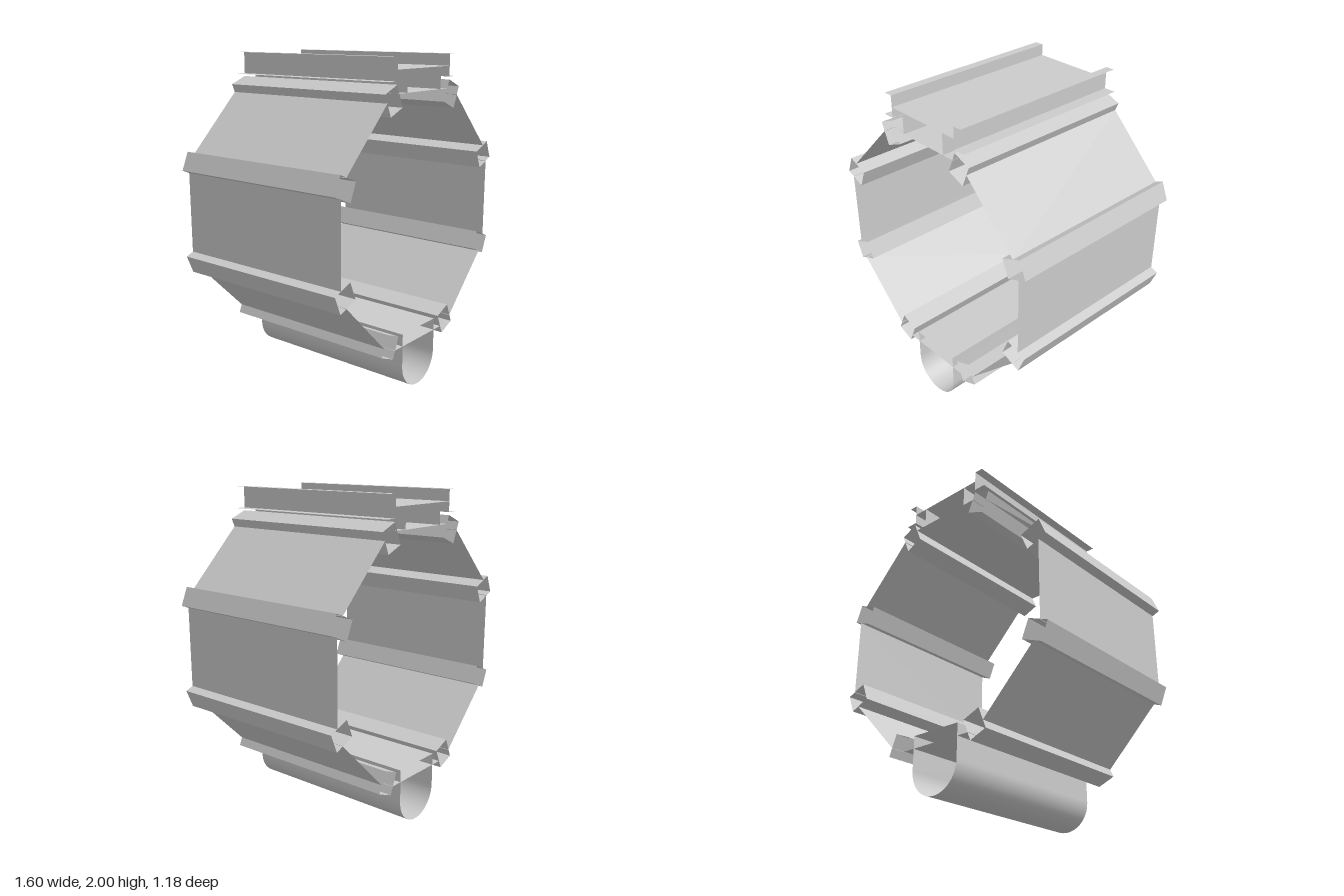
import * as THREE from 'three';
import { mergeGeometries } from 'three/addons/utils/BufferGeometryUtils.js';

const DEPTH = 1.18;      // length along z
const CY = 1.05;         // height of the ring's axis
const APOTHEM = 0.75;    // axis to panel
const HALF_PANEL = 0.25; // half width of a panel

const material = new THREE.MeshStandardMaterial({ color: 0xcccccc, side: THREE.DoubleSide });

// One thin flat strip between two points of the profile, running along z
function strip([x1, y1], [x2, y2]) {
  const g = new THREE.PlaneGeometry(Math.hypot(x2 - x1, y2 - y1), DEPTH);
  g.rotateX(-Math.PI / 2);
  g.rotateZ(Math.atan2(y2 - y1, x2 - x1));
  g.translate((x1 + x2) / 2, (y1 + y2) / 2, 0);
  return g;
}

// Folded sheet: a strip per segment of the profile
function sheet(name, points) {
  const strips = points.slice(1).map((p, i) => strip(points[i], p));
  const mesh = new THREE.Mesh(mergeGeometries(strips), material);
  mesh.name = name;
  return mesh;
}

// Point at radius r and sideways offset t, turned by angle a about the axis
const polar = (a, r, t) => [
  r * Math.cos(a) - t * Math.sin(a),
  CY + r * Math.sin(a) + t * Math.cos(a),
];

export function createModel() {
  const model = new THREE.Group();
  model.name = 'octagonalFrame';

  for (let i = 0; i < 8; i++) {
    // Flat wall panels
    const a = (i * Math.PI) / 4;
    model.add(sheet('panel', [polar(a, APOTHEM, -HALF_PANEL), polar(a, APOTHEM, HALF_PANEL)]));

    // Open square tubes at the corners
    const b = a + Math.PI / 8;
    const inner = 0.703, outer = 0.841, h = 0.059;
    model.add(sheet('cornerTube', [
      polar(b, inner, -h), polar(b, outer, -h), polar(b, outer, h),
      polar(b, inner, h), polar(b, inner, -h),
    ]));
  }

  // Top rail: raised deck, with flanged walls at both sides
  const deckY = 1.93;
  model.add(sheet('topDeck', [[-0.265, deckY], [0.265, deckY]]));
  for (const s of [-1, 1]) {
    model.add(sheet('flangedRail', [
      [s * 0.32, 2], [s * 0.265, 2], [s * 0.265, 1.867], [s * 0.34, 1.867],
    ]));
    model.add(sheet('deckSupport', [[s * 0.17, 1.8], [s * 0.17, deckY]]));
  }

  // Bottom trough: straight sides with a flat lid and a rounded floor
  const r = 0.17;
  model.add(sheet('troughSides', [[-r, r], [-r, 0.375], [r, 0.375], [r, r]]));
  const floor = new THREE.CylinderGeometry(r, r, DEPTH, 24, 1, true, -Math.PI / 2, Math.PI);
  floor.rotateX(Math.PI / 2);
  floor.translate(0, r, 0);
  const trough = new THREE.Mesh(floor, material);
  trough.name = 'troughFloor';
  model.add(trough);

  return model;
}
